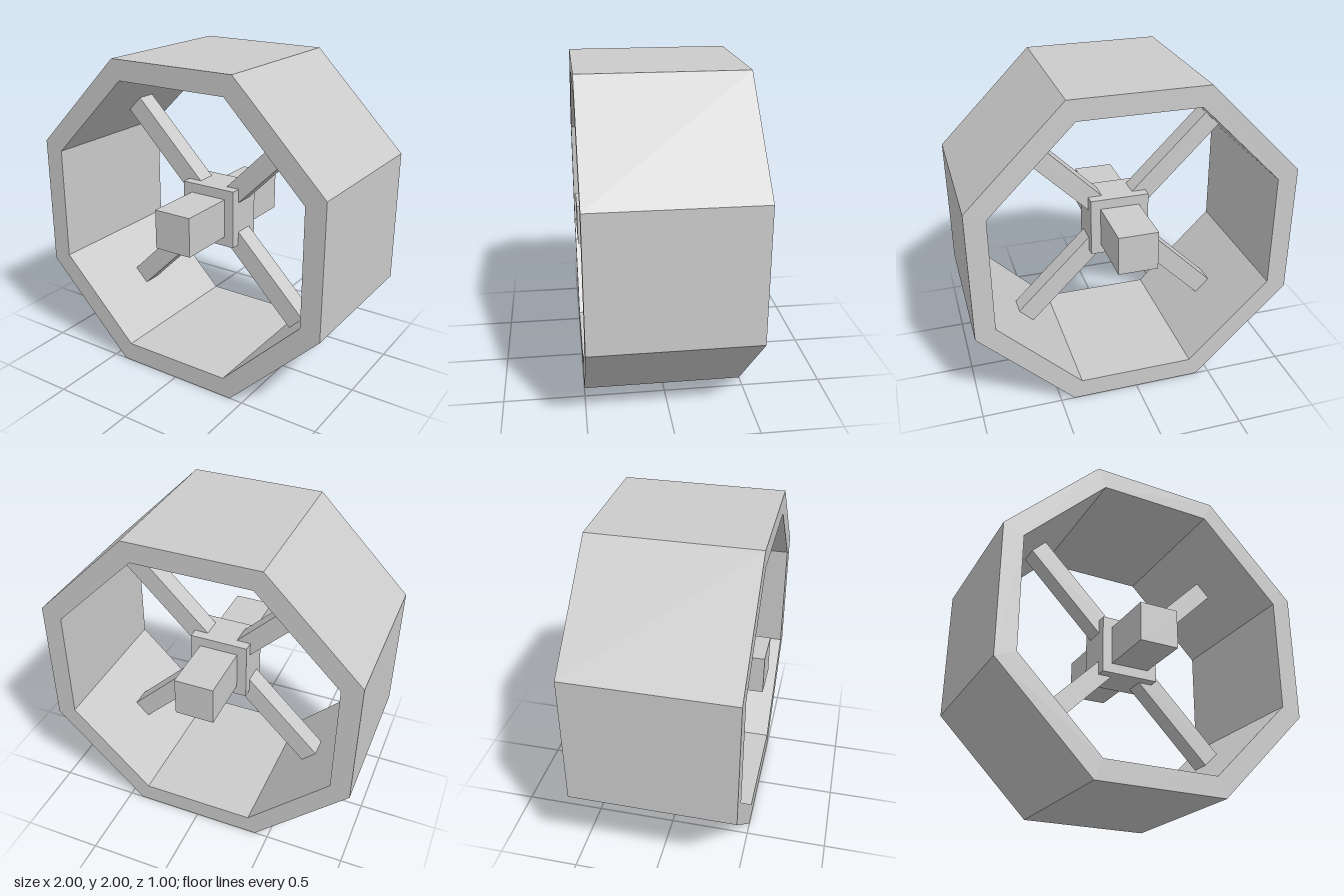
import * as THREE from 'three';

const material = new THREE.MeshStandardMaterial({ color: 0xcccccc, flatShading: true });

// Eight corners with flat sides at the given distance from the centre
function octagon(apothem) {
  const radius = apothem / Math.cos(Math.PI / 8);
  return Array.from({ length: 8 }, (_, i) => {
    const a = Math.PI / 8 + i * Math.PI / 4;
    return new THREE.Vector2(radius * Math.cos(a), radius * Math.sin(a));
  });
}

export function createModel() {
  const wheel = new THREE.Group();
  wheel.name = 'wheel';
  wheel.position.y = 1;

  function add(name, geometry, parent = wheel) {
    const mesh = new THREE.Mesh(geometry, material);
    mesh.name = name;
    parent.add(mesh);
    return mesh;
  }

  // Octagonal rim
  const outline = new THREE.Shape(octagon(1));
  outline.holes.push(new THREE.Path(octagon(0.875).reverse()));
  const rim = new THREE.ExtrudeGeometry(outline, { depth: 1, bevelEnabled: false });
  add('rim', rim.translate(0, 0, -0.5));

  // Square hub and the axle through it
  add('hub', new THREE.BoxGeometry(0.375, 0.375, 0.25));
  add('axle', new THREE.BoxGeometry(0.25, 0.25, 1));

  // Four diagonal spokes from inside the hub into the rim
  const inner = 0.15, outer = 0.885;
  const spokeGeometry = new THREE.BoxGeometry(outer - inner, 0.125, 0.125)
    .translate((inner + outer) / 2, 0, 0);
  for (let i = 0; i < 4; i++) {
    add('spoke', spokeGeometry).rotation.z = Math.PI / 4 + i * Math.PI / 2;
  }

  const model = new THREE.Group();
  model.name = 'octagonalWheel';
  model.add(wheel);
  return model;
}
